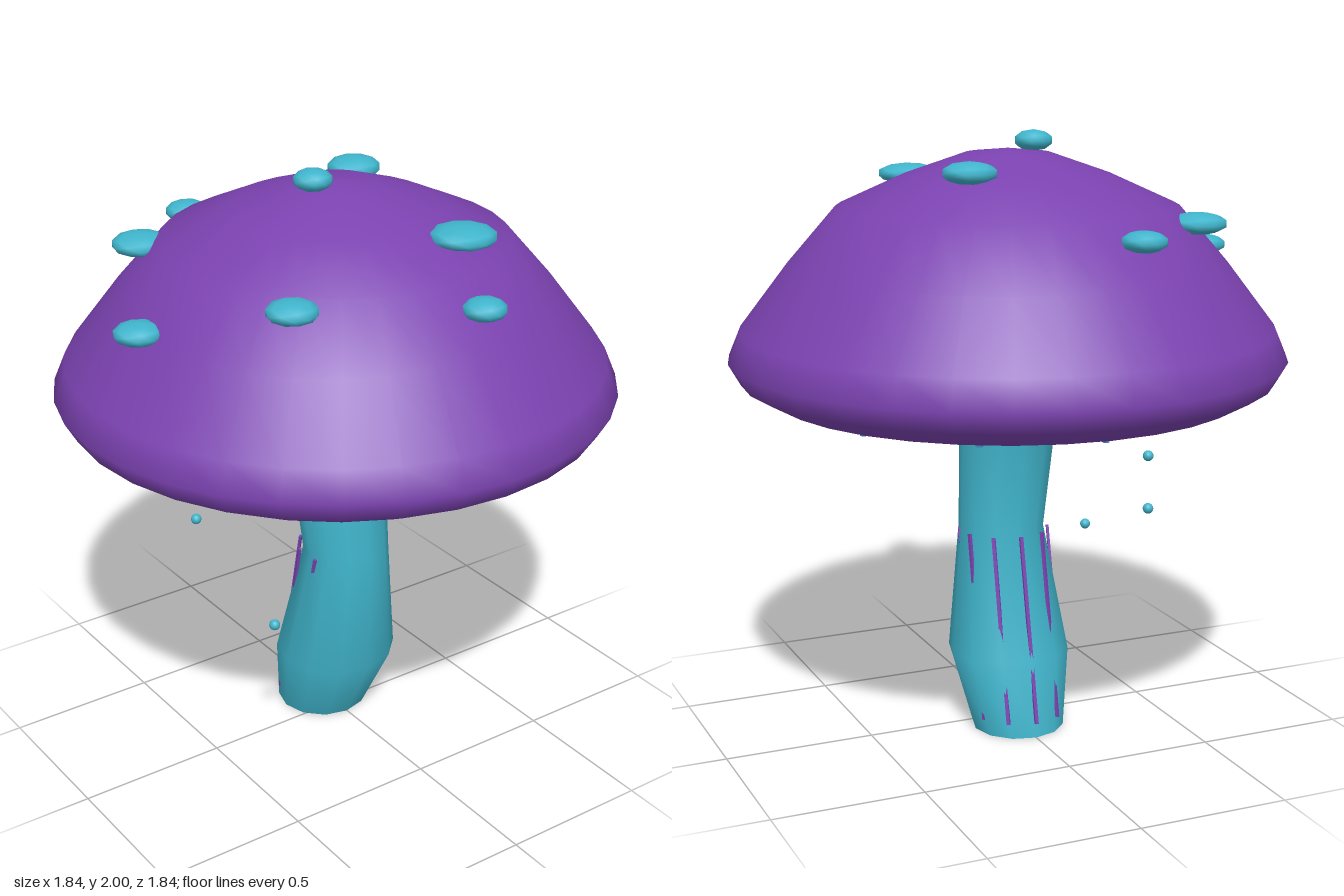
import * as THREE from 'three';
import { mergeVertices } from 'three/addons/utils/BufferGeometryUtils.js';

const material = (name, color, side = THREE.FrontSide) => {
  const m = new THREE.MeshStandardMaterial({ color, side });
  m.name = name;
  return m;
};

export function createModel() {
  const group = new THREE.Group();
  const purple = material('purple', 0x7b42b0);
  const teal = material('teal', 0x40b5cc);
  const blue = material('gill blue', 0x3a80b8);

  const add = (name, geometry, mat, x = 0, y = 0, z = 0) => {
    const mesh = new THREE.Mesh(geometry, mat);
    mesh.name = name;
    mesh.position.set(x, y, z);
    group.add(mesh);
    return mesh;
  };
  const disc = (radius, sides) => new THREE.CircleGeometry(radius, sides).rotateX(Math.PI / 2);

  // Cap: smooth dome with a rolled rim
  const capProfile = [
    [0.78, 1.145], [0.88, 1.2], [0.92, 1.27], [0.88, 1.365], [0.72, 1.575],
    [0.56, 1.76], [0.34, 1.86], [0.14, 1.93], [0, 1.945],
  ].map(([r, y]) => new THREE.Vector2(r, y));
  add('cap', new THREE.LatheGeometry(capProfile, 32), purple);
  add('capBase', disc(0.78, 32), purple, 0, 1.145);
  add('underside', disc(0.78, 12), teal, 0, 1.139);

  // Gills: thin bars radiating from the stem
  for (let i = 0; i < 12; i++) {
    const bar = new THREE.BoxGeometry(0.6, 0.009, 0.018).translate(0.44, 0, 0);
    add('gill', bar, blue, 0, 1.134).rotation.y = (i * Math.PI) / 6;
  }

  // Stem: rings of [height, radius, sideways offset]
  const rings = [[0, 0.155, -0.085], [0.25, 0.205, -0.003], [0.67, 0.145, 0.06], [1.16, 0.168, -0.014]];
  let stem = new THREE.LatheGeometry(rings.map(([y, r]) => new THREE.Vector2(r, y)), 12);
  const pos = stem.attributes.position;
  for (let i = 0; i < pos.count; i++) {
    pos.setX(i, pos.getX(i) + rings[i % rings.length][2]);
  }
  stem.deleteAttribute('uv');
  stem.deleteAttribute('normal');
  stem = mergeVertices(stem);
  stem.computeVertexNormals();
  add('stem', stem, teal);
  add('stemBase', disc(0.155, 12), teal, -0.085, 0);

  // Stem streaks: slats that surface at the foot and just below the bend
  const up = new THREE.Vector3(0, 1, 0);
  for (let i = 0; i < 10; i++) {
    const a = (i * Math.PI) / 5;
    const low = new THREE.Vector3(-0.09 + 0.153 * Math.cos(a), 0.05, 0.153 * Math.sin(a));
    const high = new THREE.Vector3(0.038 + 0.15 * Math.cos(a), 0.665, 0.15 * Math.sin(a));
    const dir = high.clone().sub(low);
    const streak = add('streak', new THREE.BoxGeometry(0.009, dir.length(), 0.012).rotateY(-a), purple);
    streak.position.copy(low).add(high).multiplyScalar(0.5);
    streak.quaternion.setFromUnitVectors(up, dir.normalize());
  }

  // Cap spots: flattened low-poly pebbles [x, y, z, radius, half height]
  const spots = [
    [0.02, 1.965, 0.1, 0.064, 0.035],
    [-0.21, 1.89, -0.22, 0.09, 0.037],
    [0.405, 1.835, -0.19, 0.108, 0.035],
    [0.64, 1.695, -0.09, 0.07, 0.035],
    [-0.615, 1.705, 0.18, 0.074, 0.035],
    [-0.385, 1.72, 0.49, 0.096, 0.036],
    [0.415, 1.735, 0.445, 0.082, 0.035],
    [0, 1.595, 0.725, 0.08, 0.035],
  ];
  for (const [x, y, z, r, h] of spots) {
    add('spot', new THREE.IcosahedronGeometry(1, 1).scale(r, h, r), teal, x, y, z);
  }

  // Floating spores
  for (const [x, y] of [[-0.243, 0.935], [-0.248, 0.755], [0.23, 0.575]]) {
    add('spore', new THREE.SphereGeometry(0.018, 12, 8), teal, x, y, 0.403);
  }
  return group;
}
